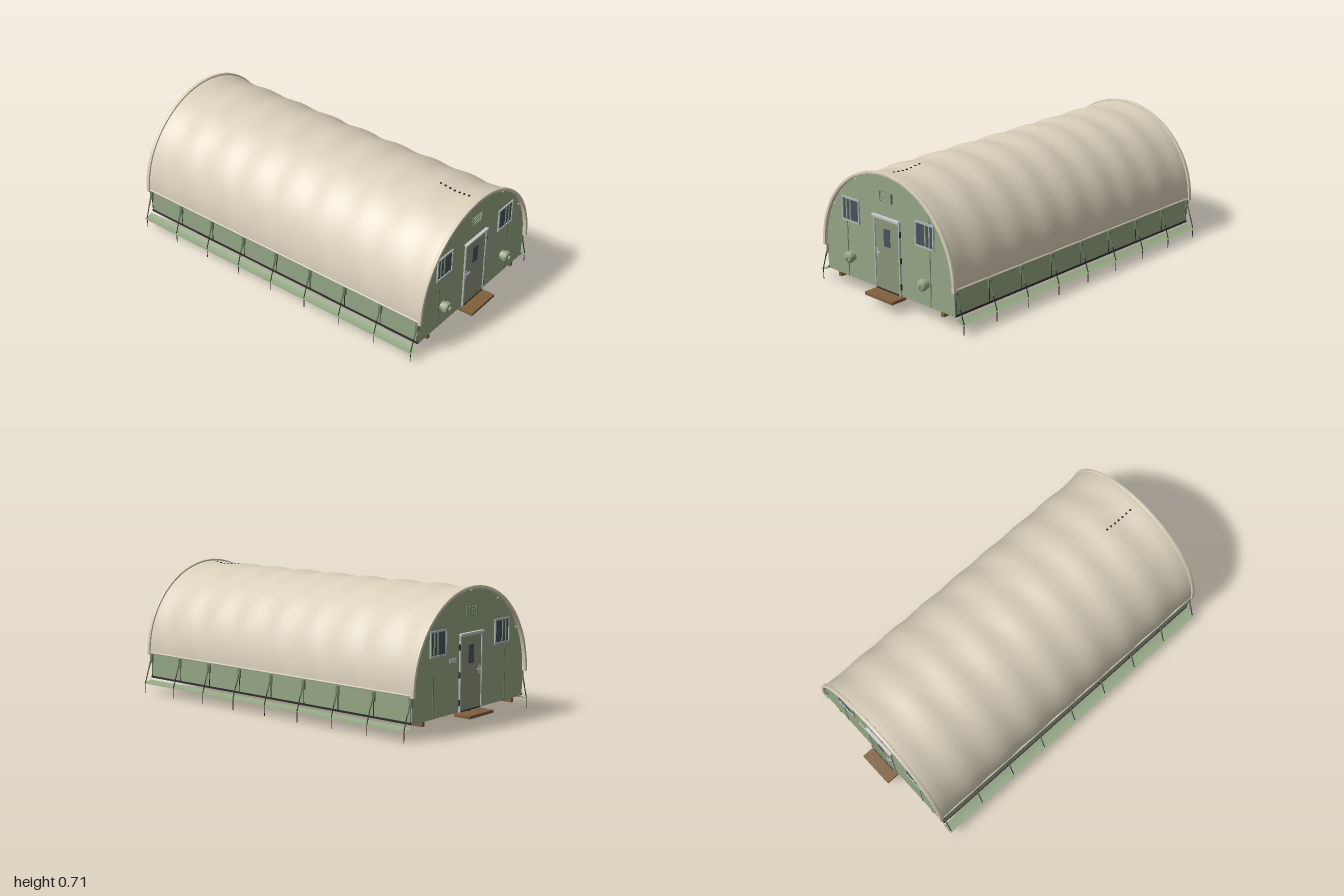
import * as THREE from 'three';
import { toCreasedNormals } from 'three/addons/utils/BufferGeometryUtils.js';

const mat = (color, side = THREE.FrontSide) => new THREE.MeshStandardMaterial({ color, side });
const M = {
  cover: mat(0xd9cfba, THREE.DoubleSide), wall: mat(0x94a684), sheet: mat(0x94a684, THREE.DoubleSide),
  strap: mat(0x6f7d62), door: mat(0x8b947a), frame: mat(0xaeb6b8), glass: mat(0x46525e),
  wood: mat(0x80603c), floor: mat(0x202224), dark: mat(0x2c302c), white: mat(0xd8d8d4),
};
const BASE = 0.08, SPRING = 0.222, END = 0.925, BAYS = 8, BAY = 0.23;

export function createModel() {
  const root = new THREE.Group();
  root.name = 'archedTent';

  const add = (name, geo, material, x = 0, y = 0, z = 0, parent = root) => {
    const m = new THREE.Mesh(geo, material);
    m.name = name;
    m.position.set(x, y, z);
    parent.add(m);
    return m;
  };
  // box given by its x, y and z ranges
  const box = (name, material, x0, x1, y0, y1, z0, z1, parent = root) =>
    add(name, new THREE.BoxGeometry(Math.abs(x1 - x0), Math.abs(y1 - y0), Math.abs(z1 - z0)), material,
      (x0 + x1) / 2, (y0 + y1) / 2, (z0 + z1) / 2, parent);
  // thin rod between two points
  const rod = (name, material, a, b, r, parent = root) => {
    const A = new THREE.Vector3(...a), B = new THREE.Vector3(...b), d = B.clone().sub(A);
    const m = add(name, new THREE.CylinderGeometry(r, r, d.length(), 8), material, 0, 0, 0, parent);
    m.position.copy(A.add(B).multiplyScalar(0.5));
    m.quaternion.setFromUnitVectors(new THREE.Vector3(0, 1, 0), d.normalize());
    return m;
  };
  // smooth sheet from a function of u, v in 0..1
  const sheet = (fn, nu, nv) => {
    const g = new THREE.PlaneGeometry(1, 1, nu, nv), p = g.attributes.position;
    for (let i = 0; i < p.count; i++) p.setXYZ(i, ...fn(p.getX(i) + 0.5, p.getY(i) + 0.5));
    g.computeVertexNormals();
    return g;
  };

  // roof cover, sagging a little between the hoops
  const roof = (u, v) => {
    const z = (v * 2 - 1) * 0.935, t = z / BAY;
    const sag = Math.sin(Math.PI * t) ** 2;
    const a = Math.PI * (1 - u);
    const r = 0.481 - 0.01 * sag * (0.35 + 0.65 * Math.sin(a)) + 0.0012 * Math.sin(9 * a + 5 * t) * sag;
    return [r * Math.cos(a), SPRING + r * Math.sin(a), -z];
  };
  add('roofCover', sheet(roof, 64, 112), M.cover);

  // arched rims at both ends of the roof
  const rim = new THREE.Shape();
  rim.moveTo(0.49, 0.212);
  rim.lineTo(0.49, SPRING);
  rim.absarc(0, SPRING, 0.49, 0, Math.PI, false);
  rim.lineTo(-0.49, 0.212);
  rim.lineTo(-0.473, 0.212);
  rim.lineTo(-0.473, SPRING);
  rim.absarc(0, SPRING, 0.473, Math.PI, 0, true);
  rim.lineTo(0.473, 0.212);
  const rimGeo = toCreasedNormals(new THREE.ExtrudeGeometry(rim,
    { depth: 0.014, bevelSize: 0.003, bevelThickness: 0.003, bevelOffset: -0.003, bevelSegments: 2, curveSegments: 48 }), 0.6);

  // end wall outline
  const wall = new THREE.Shape();
  wall.moveTo(-0.475, BASE);
  wall.lineTo(0.475, BASE);
  wall.lineTo(0.475, SPRING);
  wall.absarc(0, SPRING, 0.475, 0, Math.PI, false);
  const wallGeo = toCreasedNormals(new THREE.ExtrudeGeometry(wall, { depth: 0.012, bevelEnabled: false, curveSegments: 48 }), 0.6);

  // round duct port
  const portGeo = toCreasedNormals(new THREE.LatheGeometry([[0.025, 0], [0.025, 0.016], [0.031, 0.018],
    [0.031, 0.034], [0.026, 0.042], [0.012, 0.047], [0.01, 0.055], [0, 0.056]].map(p => new THREE.Vector2(...p)), 28), 0.6);

  for (const s of [1, -1]) {
    const end = new THREE.Group();
    end.name = s > 0 ? 'frontEnd' : 'backEnd';
    root.add(end);
    // box standing proud of the end wall, from depth d0 to d1
    const on = (name, m, x0, x1, y0, y1, d0, d1) =>
      box(name, m, x0, x1, y0, y1, s * (END + d0), s * (END + d1), end);

    add('endWall', wallGeo, M.wall, 0, 0, s > 0 ? END - 0.012 : -END, end);
    add('roofRim', rimGeo, M.cover, 0, 0, s > 0 ? 0.929 : -0.943, end);

    // door with frame, window, hinges and handle
    on('door', M.door, -0.086, 0.09, BASE, 0.462, -0.002, 0.005);
    for (const x of [-0.09, 0.092]) on('doorJamb', M.frame, x - 0.004, x + 0.004, BASE, 0.466, -0.002, 0.01);
    on('doorHead', M.frame, -0.094, 0.096, 0.46, 0.468, -0.002, 0.01);
    on('doorCanopy', M.white, -0.1, 0.097, 0.469, 0.478, -0.002, 0.017);
    on('doorSill', M.dark, -0.094, 0.096, BASE, 0.086, 0, 0.009);
    on('doorWindow', M.glass, -0.023, 0.023, 0.32, 0.414, 0, 0.007);
    on('handlePlate', M.frame, -0.077, -0.066, 0.255, 0.3, 0, 0.008);
    on('handleLever', M.frame, -0.073, -0.046, 0.276, 0.283, 0.008, 0.014);
    for (const y of [0.13, 0.27, 0.41]) on('hinge', M.dark, 0.094, 0.1, y - 0.015, y + 0.015, 0, 0.01);

    // barred windows and wall seams
    for (const k of [-1, 1]) {
      on('windowGlass', M.glass, k * 0.212, k * 0.334, 0.39, 0.51, -0.002, 0.003);
      for (const x of [0.211, 0.335]) on('windowSide', M.frame, k * (x - 0.004), k * (x + 0.004), 0.385, 0.517, 0, 0.008);
      for (const y of [0.39, 0.513]) on('windowRail', M.frame, k * 0.207, k * 0.339, y - 0.005, y + 0.004, 0, 0.008);
      for (const x of [0.277, 0.306]) on('windowBar', M.wall, k * (x - 0.004), k * (x + 0.004), 0.393, 0.51, 0, 0.006);
      on('wallSeam', M.strap, k * 0.304, k * 0.31, BASE, 0.385, 0, 0.002);
    }
    on('upperSeam', M.strap, 0.302, 0.305, 0.517, 0.575, 0, 0.002);

    // louvred vent
    on('ventBox', M.strap, -0.042, 0.042, 0.557, 0.607, -0.002, 0.004);
    for (let i = 0; i < 5; i++) on('ventSlat', M.wall, -0.04, 0.04, 0.561 + i * 0.01, 0.566 + i * 0.01, 0, 0.009);
    for (const x of [-0.041, 0.041]) on('ventSide', M.strap, x - 0.002, x + 0.002, 0.556, 0.608, 0, 0.01);

    // clips along the arch
    for (const deg of [30, 60, 90, 120, 150]) {
      const a = THREE.MathUtils.degToRad(deg);
      add('archClip', new THREE.SphereGeometry(0.006, 10, 8), M.white,
        0.465 * Math.cos(a), SPRING + 0.465 * Math.sin(a), s * END, end);
    }

    // wooden step
    on('step', M.wood, -0.103, 0.103, 0.056, 0.072, -0.02, 0.075);

    // duct ports at the front, a small plate at the back
    if (s > 0) for (const k of [-1, 1]) add('ductPort', portGeo, M.wall, k * 0.273, 0.2, END, end).rotation.x = Math.PI / 2;
    else on('wallPlate', M.white, 0.12, 0.18, 0.34, 0.362, -0.001, 0.003);
  }

  // floor on three runners
  box('floor', M.floor, -0.474, 0.474, BASE, 0.09, -0.92, 0.92);
  for (const x of [-0.385, 0, 0.385]) box('runner', M.wood, x - 0.01, x + 0.01, 0.056, BASE, -0.925, 0.925);

  // roof cord dots
  for (let i = 0; i < 7; i++) {
    const z = 0.7 + i * 0.0285;
    const top = roof(0.5, (1 - z / 0.935) / 2)[1];
    add('roofEyelet', new THREE.CylinderGeometry(0.006, 0.006, 0.006, 10), M.dark, 0, top, z);
  }

  for (const k of [-1, 1]) {
    const side = new THREE.Group();
    side.name = k > 0 ? 'leftSide' : 'rightSide';
    root.add(side);

    // low side wall, its bottom rail and the cover hem
    box('sideWall', M.wall, k * 0.466, k * 0.474, BASE, 0.235, -END, END, side);
    box('bottomRail', M.dark, k * 0.468, k * 0.479, BASE, 0.09, -END, END, side);
    rod('coverHem', M.cover, [k * 0.48, 0.222, -0.935], [k * 0.48, 0.222, 0.935], 0.005, side);

    // ground flap, slightly curved
    add('groundFlap', sheet((u, v) => [k * (0.484 + 0.056 * u), 0.056 + 0.013 * (1 - u) ** 2, (1 - 2 * v) * 0.93], 6, 1),
      M.sheet, 0, 0, 0, side);

    // guy straps, brackets and stakes at every hoop
    for (let i = 0; i <= BAYS; i++) {
      const z = (i - BAYS / 2) * BAY;
      box('strapBracket', M.strap, k * 0.472, k * 0.484, 0.165, 0.212, z - 0.009, z + 0.009, side);
      rod('guyStrap', M.strap, [k * 0.48, 0.2, z], [k * 0.505, 0.13, z], 0.0045, side);
      rod('guyRope', M.dark, [k * 0.505, 0.13, z], [k * 0.529, 0.058, z], 0.0025, side);
      rod('wallRope', M.dark, [k * 0.477, 0.17, z], [k * 0.477, BASE, z], 0.002, side);
      rod('stake', M.dark, [k * 0.529, 0, z], [k * 0.529, 0.066, z], 0.002, side);
    }
  }
  return root;
}
